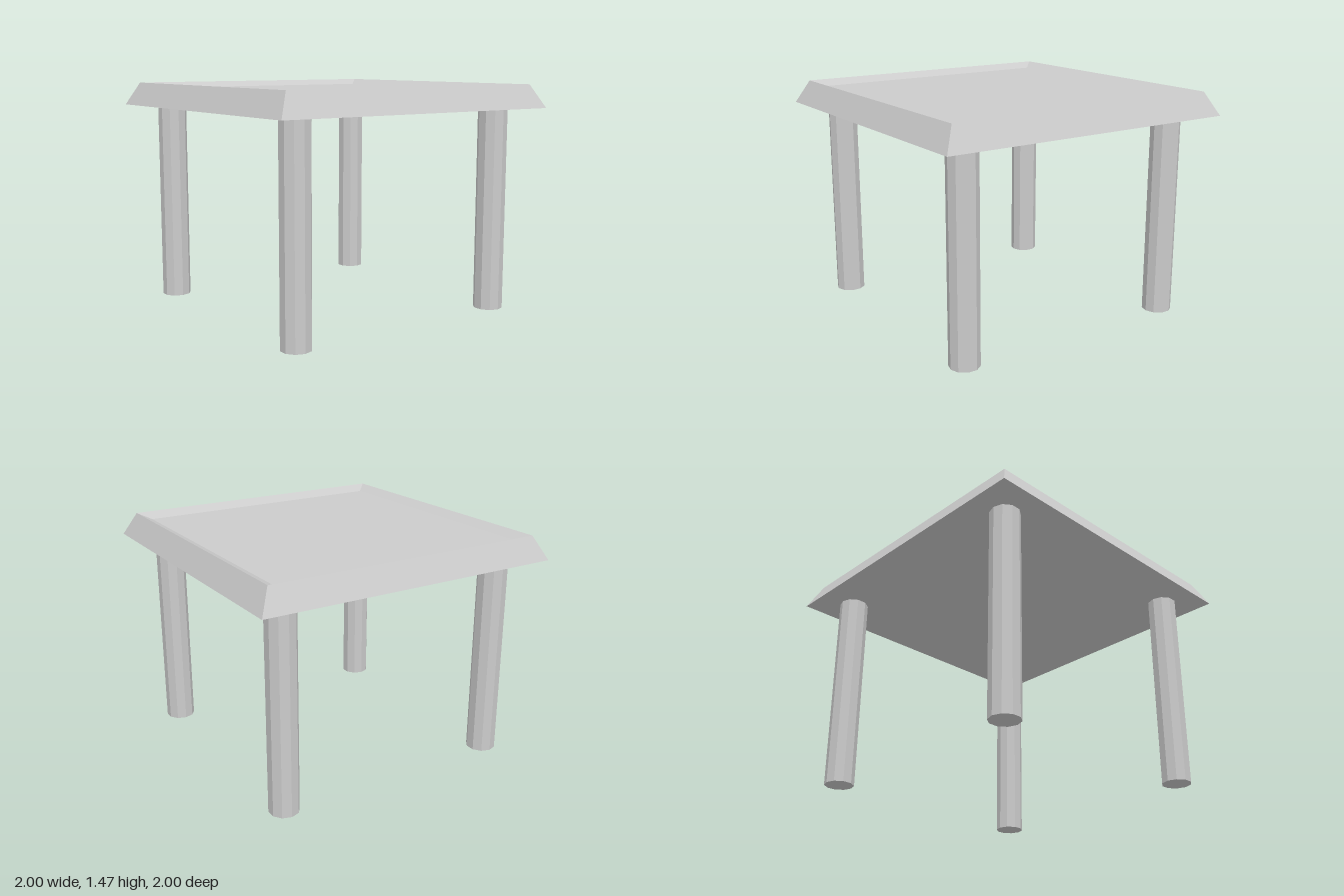
import * as THREE from 'three';

export function createModel() {
  const group = new THREE.Group();
  const material = new THREE.MeshStandardMaterial({ color: 0xcccccc, flatShading: true });

  const topBottom = 1.32;
  const topHeight = 1.47;
  const floorHeight = 1.434;

  // Square tabletop: bevelled sides, thin rim and a shallow sloped recess,
  // turned as a four-sided lathe (half-widths scaled to corner radii)
  const profile = [
    [0, topBottom],
    [1, topBottom],
    [0.923, topHeight],
    [0.845, floorHeight],
    [0, floorHeight],
  ].map(([halfWidth, y]) => new THREE.Vector2(halfWidth * Math.SQRT2, y));
  const topGeometry = new THREE.LatheGeometry(profile, 4, Math.PI / 4).toNonIndexed();
  topGeometry.computeVertexNormals();
  const tabletop = new THREE.Mesh(topGeometry, material);
  tabletop.name = 'tabletop';
  group.add(tabletop);

  // Four ten-sided legs
  const legGeometry = new THREE.CylinderGeometry(0.095, 0.095, topBottom, 10);
  const legOffset = 0.763;
  for (const [zName, z] of [['front', 1], ['back', -1]]) {
    for (const [xName, x] of [['Left', 1], ['Right', -1]]) {
      const leg = new THREE.Mesh(legGeometry, material);
      leg.name = `${zName}${xName}Leg`;
      leg.position.set(x * legOffset, topBottom / 2, z * legOffset);
      group.add(leg);
    }
  }

  return group;
}
